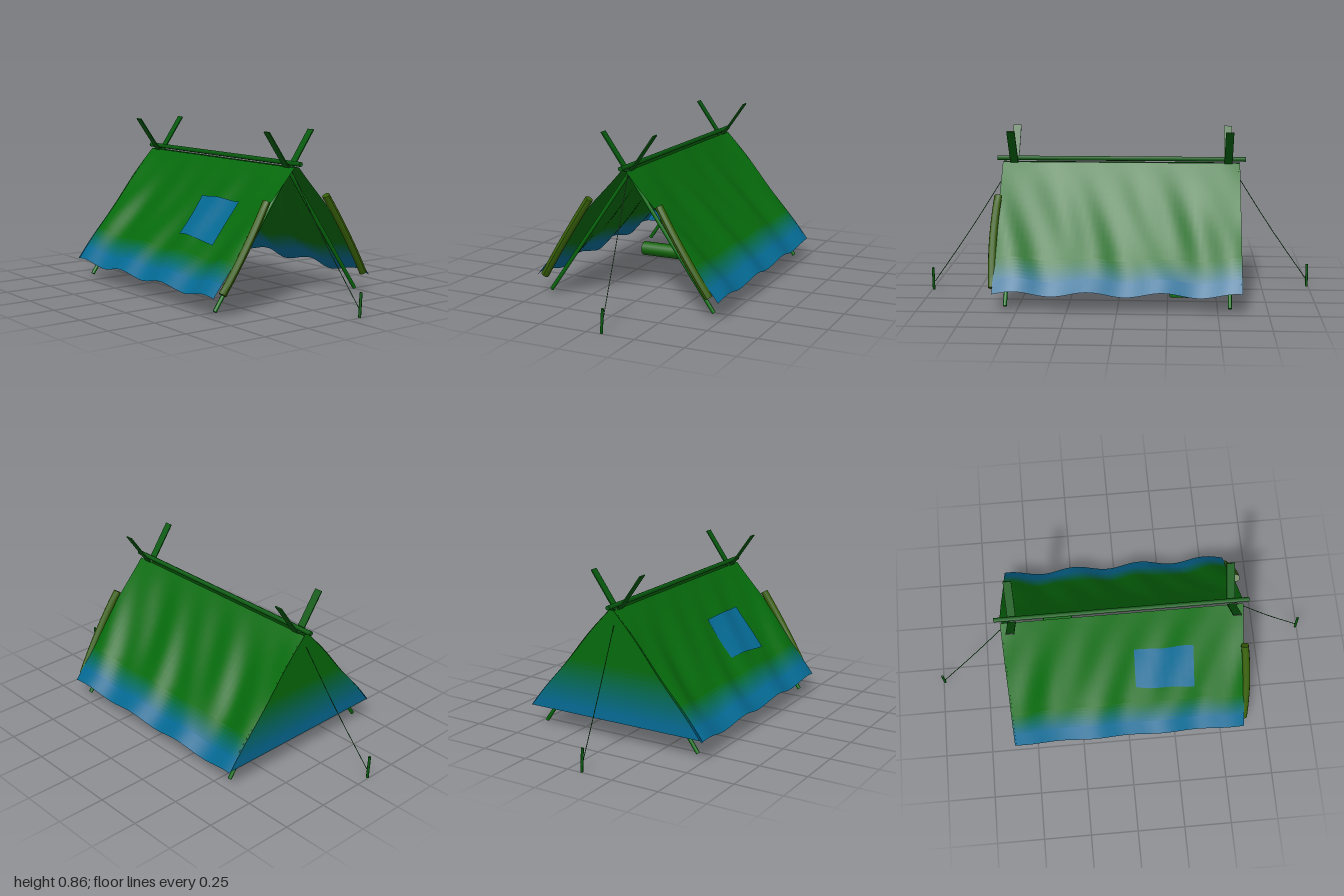
import * as THREE from 'three';
import { RoundedBoxGeometry } from 'three/addons/geometries/RoundedBoxGeometry.js';

const GREEN = 0x066b0c, DARK = 0x075a0e, OLIVE = 0x375f08, BLUE = 0x056a94;
const V = (x, y, z) => new THREE.Vector3(x, y, z);
const mat = (color, side = THREE.FrontSide) =>
  new THREE.MeshStandardMaterial({ color, side });

function add(group, name, geometry, material) {
  const mesh = new THREE.Mesh(geometry, material);
  mesh.name = name;
  group.add(mesh);
  return mesh;
}

// Place a mesh between two points, its own y axis along the line
function span(mesh, a, b) {
  mesh.position.copy(a).add(b).multiplyScalar(0.5);
  mesh.quaternion.setFromUnitVectors(V(0, 1, 0), b.clone().sub(a).normalize());
  return mesh;
}

function rod(group, name, a, b, radius, color = DARK, sides = 8) {
  const geo = new THREE.CylinderGeometry(radius, radius, a.distanceTo(b), sides);
  return span(add(group, name, geo, mat(color)), a, b);
}

// Grid whose vertices are placed by a rule f(u, v) with u, v in 0..1
function sheet(f, nu, nv) {
  const geo = new THREE.PlaneGeometry(1, 1, nu, nv);
  const p = geo.attributes.position;
  for (let i = 0; i < p.count; i++) {
    const q = f(p.getX(i) + 0.5, p.getY(i) + 0.5);
    p.setXYZ(i, q.x, q.y, q.z);
  }
  geo.computeVertexNormals();
  return geo;
}

// Roof slope from ridge (t = 0) to eave (t = 1): taut at the ends,
// sagging between them, with a rippled hem
function slope(side, z, t, lift = 0) {
  const wave = Math.sin((z - 0.07) * 17 + side * 0.3);
  const taut = THREE.MathUtils.smoothstep(Math.abs(z), 0.38, 0.62);
  const belly = Math.sin(Math.PI * t);
  const out = belly * (-0.016 + 0.026 * taut) + lift + 0.004 * t * t
    + t * 0.01 * wave + 0.006 * belly * Math.sin(z * 29 + t * 7);
  const x = 0.014 + 0.481 * t + 0.775 * out;
  const y = 0.68 - 0.588 * t + 0.632 * out + 0.008 * t * t * wave;
  return V(side * x, y, z);
}

// Colour bands fading from green to the blue hem between two fractions
function bands(start, end, count) {
  const list = [{ from: 0, to: start, color: new THREE.Color(GREEN) }];
  for (let i = 0; i < count; i++) {
    list.push({
      from: start + (end - start) * i / count,
      to: i === count - 1 ? 1 : start + (end - start) * (i + 1) / count,
      color: new THREE.Color(GREEN).lerp(new THREE.Color(BLUE), ((i + 1) / count) ** 1.6),
    });
  }
  return list;
}

export function createModel() {
  const tent = new THREE.Group();
  tent.name = 'tent';

  // Roof canvas
  for (const side of [-1, 1]) {
    const canvas = new THREE.Group();
    canvas.name = side > 0 ? 'leftCanvas' : 'rightCanvas';
    tent.add(canvas);
    bands(0.74, 0.92, 7).forEach(({ from, to, color }, i) => {
      const geo = sheet((u, v) => slope(side, (u - 0.5) * 1.24, from + (to - from) * v), 48, i ? 1 : 14);
      add(canvas, i ? 'hemBand' : 'slope', geo, mat(color, THREE.DoubleSide));
    });
  }

  // Closed back panel, its sides following the canvas edge
  const back = new THREE.Group();
  back.name = 'backPanel';
  tent.add(back);
  bands(0.5, 0.95, 12).forEach(({ from, to, color }) => {
    const geo = sheet((u, v) => {
      const t = from + (to - from) * v;
      const edge = slope(1, -0.612, t);
      return V((2 * u - 1) * edge.x, edge.y, -0.612);
    }, 4, 6);
    add(back, 'backBand', geo, mat(color, THREE.DoubleSide));
  });

  // Patch sewn on the right slope
  const patch = sheet((u, v) => {
    const z = 0.05 + 0.31 * u;
    return slope(-1, z, 0.3 + 0.31 * v + 0.03 * u * v, 0.006);
  }, 8, 6);
  add(tent, 'patch', patch, mat(BLUE, THREE.DoubleSide));

  // Ridge pole
  rod(tent, 'ridgePole', V(0, 0.698, -0.65), V(0, 0.698, 0.65), 0.012);

  // Crossed legs with flat tips, guy ropes and stakes at both ends
  for (const end of [-1, 1]) {
    for (const side of [-1, 1]) {
      const z = end * 0.56;
      rod(tent, 'legPole', V(side * 0.45, 0.02, z), V(-side * 0.01, 0.675, z), 0.01, GREEN);
      const a = V(side * 0.01, 0.672, z), b = V(side * 0.14, 0.855, z);
      const tip = new THREE.BoxGeometry(0.006, a.distanceTo(b), 0.042);
      span(add(tent, 'poleTip', tip, mat(DARK)), a, b);
    }
    const rope = new THREE.CatmullRomCurve3([
      V(0, 0.69, end * 0.56), V(end * 0.04, 0.335, end * 0.785), V(end * 0.078, 0.045, end * 0.985),
    ]);
    add(tent, 'guyRope', new THREE.TubeGeometry(rope, 10, 0.002, 5), mat(DARK));
    rod(tent, 'stake', V(end * 0.077, 0, end * 0.993), V(end * 0.084, 0.12, end * 0.993), 0.007);
  }

  // Door flaps rolled up along the front edges
  for (const side of [-1, 1]) {
    const a = V(side * 0.45, 0.112, 0.622), b = V(side * 0.188, 0.53, 0.622);
    const len = a.distanceTo(b);
    const geo = new THREE.CylinderGeometry(0.02, 0.02, len, 10, 8);
    const p = geo.attributes.position;
    for (let i = 0; i < p.count; i++) {
      const s = p.getY(i) / len * 2;
      p.setZ(i, p.getZ(i) + 0.012 * (1 - s * s));
    }
    geo.computeVertexNormals();
    span(add(tent, 'rolledFlap', geo, mat(OLIVE)), a, b);
  }

  // Bedroll and pack inside
  rod(tent, 'bedroll', V(-0.295, 0.07, -0.172), V(-0.015, 0.07, -0.172), 0.038, 0x126408, 10);
  const pack = add(tent, 'pack', new RoundedBoxGeometry(0.203, 0.12, 0.16, 2, 0.01), mat(GREEN));
  pack.position.set(0.218, 0.095, -0.34);

  return tent;
}
